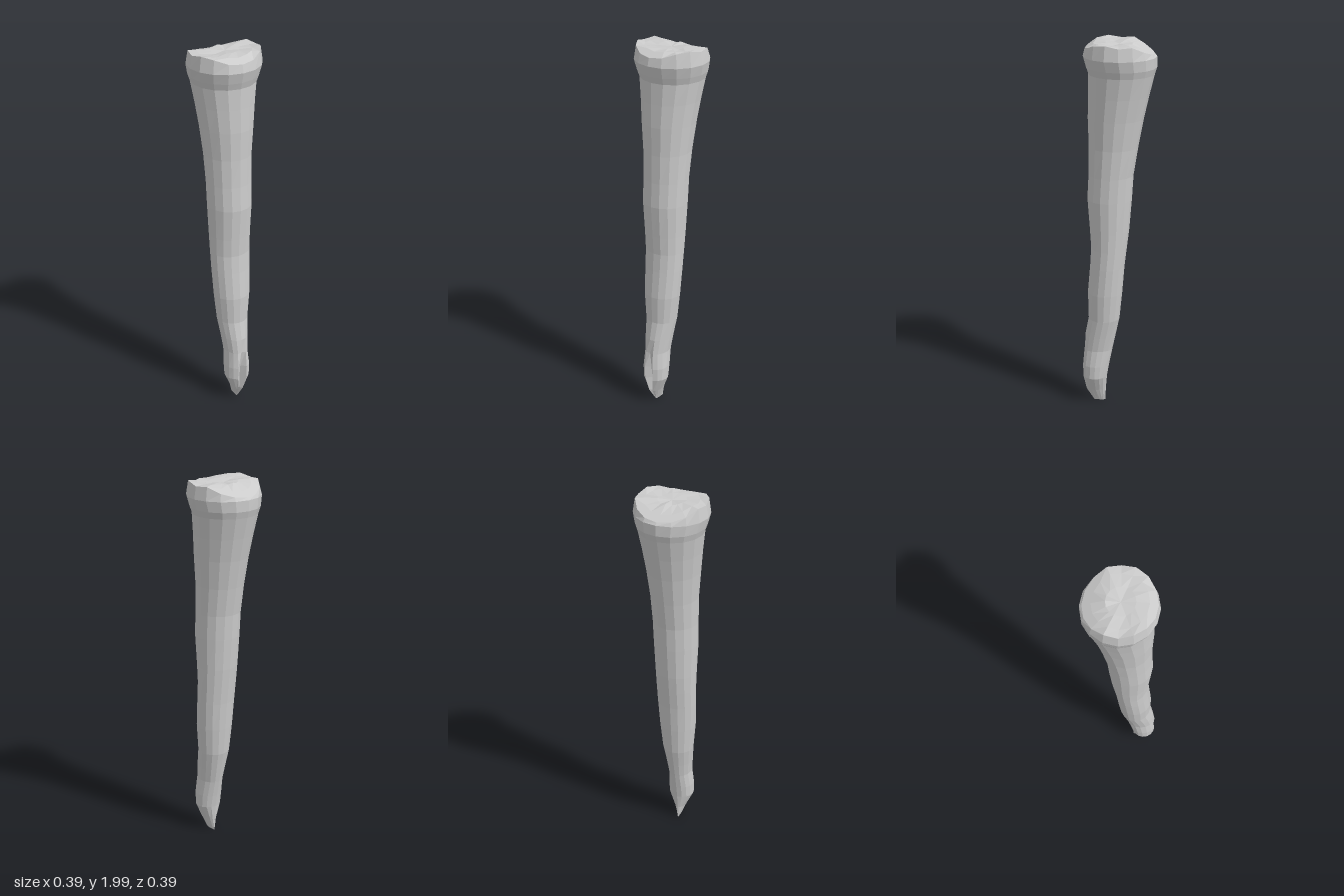
import * as THREE from 'three';

const SIDES = 16;

// Cross-sections from the pointed foot up: [y, half width, front z, back z, cleft depth]
const RINGS = [
  [0.01, 0.003, 0.135, 0.075, 0],
  [0.08, 0.03, 0.18, 0.072, 0.02],
  [0.16, 0.068, 0.197, 0.065, 0.035],
  [0.23, 0.069, 0.2, 0.053, 0.03],
  [0.32, 0.062, 0.192, 0.035, 0.012],
  [0.4, 0.071, 0.182, 0.018, 0],
  [0.5, 0.084, 0.163, -0.003, 0],
  [0.65, 0.098, 0.166, -0.018, 0],
  [0.8, 0.105, 0.153, -0.03, 0],
  [0.9, 0.107, 0.147, -0.042, 0],
  [1.0, 0.11, 0.153, -0.054, 0],
  [1.17, 0.117, 0.165, -0.068, 0],
  [1.3, 0.119, 0.158, -0.076, 0],
  [1.45, 0.124, 0.156, -0.1, 0],
  [1.6, 0.138, 0.16, -0.128, 0],
  [1.72, 0.152, 0.157, -0.155, 0],
  [1.83, 0.168, 0.156, -0.182, 0],
  [1.865, 0.18, 0.168, -0.193, 0],
  [1.92, 0.193, 0.183, -0.193, 0],
];

// Height of the broken upper end, lower at the back and dipping at the front
function topHeight(x, z) {
  if (z < -0.07) return 1.99 + (z + 0.07) * 0.52;
  if (z > 0.11) return 1.995 - (z - 0.11) * 0.55;
  return 1.985 + 0.01 * Math.sin(z * 40) * Math.cos(x * 30);
}

function ringPoints([y, w, front, back, cleft]) {
  const mid = (front + back) / 2, depth = (front - back) / 2;
  return Array.from({ length: SIDES }, (_, i) => {
    const a = (i / SIDES) * Math.PI * 2;
    const notch = i === 0 ? cleft : 0;
    return [Math.sin(a) * w, y, mid + Math.cos(a) * depth - notch];
  });
}

function loft(rings) {
  const positions = rings.flat(2), index = [];
  for (let r = 0; r < rings.length - 1; r++) {
    for (let i = 0; i < SIDES; i++) {
      const j = (i + 1) % SIDES;
      const a = r * SIDES + i, b = r * SIDES + j;
      index.push(a, b, b + SIDES, a, b + SIDES, a + SIDES);
    }
  }
  // Close both ends with a central point
  for (const [r, up] of [[0, false], [rings.length - 1, true]]) {
    const centre = positions.length / 3, ring = rings[r];
    const mean = (k) => ring.reduce((s, p) => s + p[k], 0) / SIDES;
    positions.push(mean(0), up ? 1.98 : mean(1), mean(2));
    for (let i = 0; i < SIDES; i++) {
      const a = r * SIDES + i, b = r * SIDES + (i + 1) % SIDES;
      if (up) index.push(a, b, centre);
      else index.push(b, a, centre);
    }
  }
  const geometry = new THREE.BufferGeometry();
  geometry.setAttribute('position', new THREE.Float32BufferAttribute(positions, 3));
  geometry.setIndex(index);
  geometry.computeVertexNormals();
  return geometry;
}

export function createModel() {
  const group = new THREE.Group();
  group.name = 'taperedStake';

  // Shaft with its flared collar
  const rings = RINGS.map(ringPoints);

  // Rough top: shrinking rings laid over the uneven end
  const collar = rings[rings.length - 1];
  for (const scale of [0.94, 0.72, 0.38]) {
    rings.push(collar.map(([x, , z], i) => {
      const jag = scale > 0.5 && [3, 13].includes(i) ? 0.01 : 0;
      const px = x * scale, pz = z * scale;
      return [px, Math.min(2, topHeight(px, pz) + jag), pz];
    }));
  }

  const material = new THREE.MeshStandardMaterial({ color: 0xcccccc, flatShading: true });
  const shaft = new THREE.Mesh(loft(rings), material);
  shaft.name = 'shaft';
  group.add(shaft);
  return group;
}
